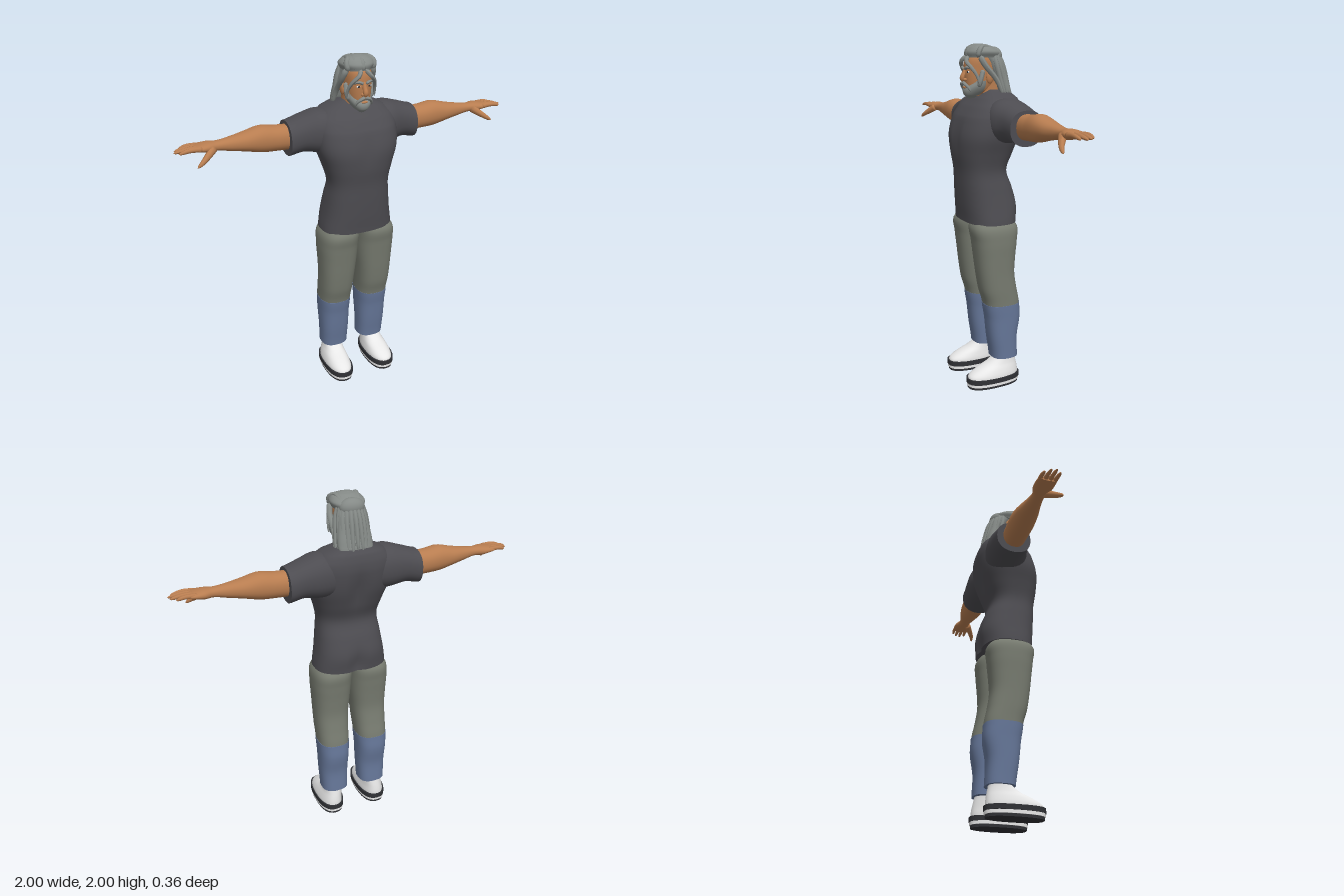
import * as THREE from 'three';

const mat = (name, color) => {
  const m = new THREE.MeshStandardMaterial({ color });
  m.name = name;
  return m;
};

// Smooth closed loft along an axis. Each section is [t, u0, u1, v0, v1],
// the extents of a rounded-box outline: y -> (x, z), x -> (z, y), z -> (y, x).
function loft(axis, sections, power = 2.4, sides = 32, steps = 5) {
  const place = { y: (t, u, v) => [u, t, v], x: (t, u, v) => [t, v, u], z: (t, u, v) => [v, u, t] }[axis];
  const rows = [], last = sections.length - 1;
  for (let i = 0; i < last; i++) {
    const [a, b, c, d] = [-1, 0, 1, 2].map(k => sections[Math.min(last, Math.max(0, i + k))]);
    for (let s = 0; s < steps; s++) {
      const f = s / steps;
      rows.push(b.map((_, k) => k === 0 ? b[0] + (c[0] - b[0]) * f
        : 0.5 * (2 * b[k] + (c[k] - a[k]) * f + (2 * a[k] - 5 * b[k] + 4 * c[k] - d[k]) * f * f
          + (3 * b[k] - a[k] - 3 * c[k] + d[k]) * f ** 3)));
    }
  }
  rows.push(sections[last]);
  const pos = [], idx = [];
  const bend = x => Math.sign(x) * Math.abs(x) ** (2 / power);
  const ring = ([t, u0, u1, v0, v1]) => {
    for (let j = 0; j < sides; j++) {
      const a = j / sides * Math.PI * 2;
      pos.push(...place(t, (u0 + u1) / 2 + (u1 - u0) / 2 * bend(Math.cos(a)),
        (v0 + v1) / 2 + (v1 - v0) / 2 * bend(Math.sin(a))));
    }
  };
  rows.forEach(ring);
  for (let i = 0; i < rows.length - 1; i++) for (let j = 0; j < sides; j++) {
    const a = i * sides + j, b = i * sides + (j + 1) % sides;
    idx.push(a, a + sides, b, b, a + sides, b + sides);
  }
  // Separate end caps keep the rims crisp
  [rows[0], rows[rows.length - 1]].forEach((r, end) => {
    const start = pos.length / 3;
    ring(r);
    pos.push(...place(r[0], (r[1] + r[2]) / 2, (r[3] + r[4]) / 2));
    for (let j = 0; j < sides; j++) {
      const a = start + j, b = start + (j + 1) % sides;
      idx.push(start + sides, ...(end ? [b, a] : [a, b]));
    }
  });
  const g = new THREE.BufferGeometry();
  g.setAttribute('position', new THREE.Float32BufferAttribute(pos, 3));
  g.setIndex(idx);
  g.computeVertexNormals();
  return g;
}

// Tube along points whose radius runs from r0 to r1, pinched at the end
function lock(points, r0, r1, n = 14, sides = 9) {
  const curve = new THREE.CatmullRomCurve3(points.map(p => new THREE.Vector3(...p)));
  const g = new THREE.TubeGeometry(curve, n, 1, sides);
  const p = g.attributes.position, v = new THREE.Vector3();
  for (let i = 0; i <= n; i++) {
    const c = curve.getPointAt(i / n), f = i / n;
    const r = (r0 + (r1 - r0) * f) * Math.sqrt(Math.max(0, 1 - f ** 8)) * (i === 0 ? 0.1 : 1);
    for (let j = 0; j <= sides; j++) {
      const k = i * (sides + 1) + j;
      v.fromBufferAttribute(p, k).sub(c).multiplyScalar(r).add(c);
      p.setXYZ(k, v.x, v.y, v.z);
    }
  }
  g.computeVertexNormals();
  return g;
}

const ball = (x, y, z, rx, ry, rz) => new THREE.SphereGeometry(1, 20, 14).scale(rx, ry, rz).translate(x, y, z);

function mirrored(g) {
  const m = g.clone().scale(-1, 1, 1), i = m.index.array;
  for (let k = 0; k < i.length; k += 3) [i[k], i[k + 1]] = [i[k + 1], i[k]];
  m.computeVertexNormals();
  return m;
}

export function createModel() {
  const group = new THREE.Group();
  const shirt = mat('charcoal shirt', 0x4d4c51), trousers = mat('grey trousers', 0x777b70);
  const blue = mat('blue leggings', 0x667799), skin = mat('tan skin', 0xb87d50);
  const hair = mat('grey hair', 0x858a87), white = mat('white sock', 0xececec);
  const dark = mat('dark sole', 0x303135);
  const add = (name, g, m) => {
    const mesh = new THREE.Mesh(g, m);
    mesh.name = name;
    group.add(mesh);
  };
  const pair = (name, g, m) => { add(name + 'Left', g, m); add(name + 'Right', mirrored(g), m); };

  // Shirt body, with a shallow groove down the back and between the chest muscles
  const torso = loft('y', [
    [1.0, -.215, .215, -.15, .148], [1.1, -.2, .2, -.157, .158], [1.2, -.186, .186, -.132, .165],
    [1.3, -.176, .176, -.098, .17], [1.4, -.2, .2, -.13, .184], [1.5, -.232, .232, -.162, .186],
    [1.6, -.238, .238, -.177, .157], [1.66, -.225, .225, -.174, .115], [1.705, -.18, .18, -.16, .07],
    [1.73, -.12, .12, -.14, .035], [1.75, -.075, .075, -.115, .015]], 2.6, 48);
  const p = torso.attributes.position;
  for (let i = 0; i < p.count; i++) {
    const x = p.getX(i), y = p.getY(i), z = p.getZ(i);
    const groove = Math.exp(-((x / .035) ** 2));
    const amount = z < -.06 ? .022 * (Math.exp(-(((y - 1.05) / .08) ** 2)) + Math.exp(-(((y - 1.5) / .1) ** 2)))
      : z > .06 ? -.01 * Math.exp(-(((y - 1.5) / .08) ** 2)) : 0;
    p.setZ(i, z + groove * amount);
  }
  torso.computeVertexNormals();
  add('shirtBody', torso, shirt);
  pair('sleeve', loft('x', [
    [.08, -.15, .06, 1.47, 1.69], [.2, -.167, .08, 1.465, 1.71], [.3, -.162, .052, 1.482, 1.685],
    [.385, -.16, .042, 1.467, 1.66]], 2.3), shirt);

  // Arms, hands and fingers
  pair('arm', loft('x', [
    [.34, -.12, .005, 1.5, 1.64], [.45, -.125, .01, 1.505, 1.645], [.53, -.125, .012, 1.51, 1.655],
    [.62, -.115, .005, 1.53, 1.635], [.7, -.095, -.01, 1.545, 1.62], [.77, -.084, -.015, 1.559, 1.611],
    [.82, -.1, 0, 1.56, 1.613], [.88, -.1, .006, 1.572, 1.606], [.905, -.092, -.004, 1.578, 1.6]], 2.2), skin);
  [[-.085, .965], [-.058, .992], [-.031, 1.0], [-.004, .98]].forEach(([z, tip], i) =>
    pair('finger' + (i + 1), lock([[.85, 1.59, z * .9 - .005], [.92, 1.594, z], [tip, 1.583, z]], .015, .009), skin));
  pair('thumb', lock([[.79, 1.585, -.025], [.84, 1.55, .012], [.87, 1.53, .03], [.9, 1.51, .038]], .024, .01), skin);

  // Legs: trousers above, leggings below
  pair('trouserLeg', loft('y', [
    [.51, .03, .217, -.148, .065], [.6, .025, .22, -.13, .09], [.7, .018, .222, -.115, .106],
    [.8, .008, .226, -.12, .118], [.9, .001, .23, -.13, .13], [.98, -.005, .222, -.133, .14],
    [1.05, -.01, .17, -.08, .1]], 2.6), trousers);
  pair('legging', loft('y', [
    [.17, .042, .206, -.14, .022], [.3, .038, .211, -.136, .04], [.42, .034, .215, -.154, .053],
    [.51, .029, .219, -.15, .067]], 2.6), blue);

  // Feet: sock, strap edge, welt and tread
  pair('sock', loft('y', [
    [.045, .068, .218, -.142, .178], [.075, .068, .216, -.142, .172], [.105, .073, .207, -.138, .125],
    [.135, .078, .195, -.132, .055], [.17, .08, .188, -.125, .008], [.23, .08, .188, -.125, 0]], 2.3), white);
  [['strapEdge', .034, .062, 0, dark], ['welt', .016, .034, -.003, white], ['tread', 0, .016, -.008, dark]]
    .forEach(([name, lo, hi, grow, m]) => pair(name, loft('y', [lo, hi].map(y =>
      [y, .06 - grow, .224 + grow, -.15 - grow, .186 + grow]), 2.5, 32, 1), m));

  // Neck and face
  add('neck', loft('y', [[1.66, -.07, .07, -.11, .04], [1.74, -.06, .06, -.09, .045], [1.82, -.06, .06, -.08, .05]]), skin);
  add('head', loft('y', [
    [1.715, -.03, .03, .02, .1], [1.75, -.055, .055, -.03, .117], [1.8, -.068, .068, -.07, .124],
    [1.86, -.072, .072, -.08, .126], [1.92, -.07, .07, -.07, .118], [1.965, -.045, .045, -.04, .08]], 2.3), skin);
  add('nose', lock([[0, 1.875, .115], [0, 1.84, .13], [0, 1.812, .141], [0, 1.797, .132]], .009, .017), skin);
  pair('nostril', ball(.012, 1.806, .128, .01, .009, .012), skin);
  pair('ear', ball(.076, 1.82, .008, .012, .036, .021), skin);
  pair('eye', ball(.031, 1.848, .118, .013, .006, .005), white);
  pair('iris', ball(.031, 1.848, .1215, .006, .006, .003), dark);
  pair('brow', lock([[.008, 1.862, .127], [.032, 1.873, .126], [.058, 1.862, .103]], .009, .005), hair);

  // Beard and moustache
  add('beard', loft('y', [
    [1.702, -.014, .014, .07, .105], [1.72, -.037, .037, .035, .127], [1.745, -.056, .056, 0, .132],
    [1.77, -.068, .068, -.005, .12], [1.8, -.072, .072, -.005, .1]], 2.3), hair);
  add('lip', ball(0, 1.763, .127, .02, .006, .008), skin);
  pair('moustache', lock([[0, 1.788, .133], [.02, 1.783, .135], [.042, 1.764, .122], [.05, 1.74, .11]], .011, .006), hair);
  pair('sideburn', lock([[.07, 1.86, .045], [.073, 1.81, .06], [.064, 1.765, .07]], .014, .015), hair);

  // Hair: swept crown, tied lump, back mass and hanging locks
  add('crownHair', loft('y', [
    [1.925, -.082, .082, -.085, .113], [1.955, -.096, .096, -.08, .118], [1.98, -.08, .08, -.04, .1],
    [1.994, -.05, .05, -.01, .075], [2.0, -.02, .02, .02, .05]], 2.1), hair);
  add('tiedHair', ball(0, 1.935, -.048, .072, .05, .046), hair);
  add('backHair', loft('y', [
    [1.715, -.095, .095, -.14, -.085], [1.75, -.1, .1, -.136, -.05], [1.82, -.094, .094, -.118, -.02],
    [1.9, -.086, .086, -.098, .02], [1.955, -.076, .076, -.075, .06]], 2.3), hair);
  for (let i = 0; i <= 10; i++) {
    const a = (i / 10 - .5) * 2.7, s = Math.sin(a), c = Math.cos(a);
    add('backLock' + (i + 1), lock([[s * .06, 1.955, -.01 - c * .055], [s * .087, 1.89, -.01 - c * .09],
      [s * .097, 1.8, -.03 - c * .095], [s * .106, 1.7 + (i % 3) * .012, -.06 - c * .083]], .014, .012), hair);
  }
  for (let i = 0; i < 5; i++) {
    const x = (i - 2) * .036;
    add('crownLock' + (i + 1), lock([[x, 1.925, .108 - Math.abs(x) * .4], [x * 1.1, 1.965, .1 - Math.abs(x) * .4],
      [x * .8, 1.984, .04], [x * .7, 1.965, -.04]], .015, .015), hair);
  }
  pair('fringe', lock([[.012, 1.935, .11], [.034, 1.905, .13], [.062, 1.875, .115], [.079, 1.83, .088],
    [.085, 1.77, .07]], .013, .007), hair);
  pair('templeLock', lock([[.075, 1.94, .07], [.088, 1.89, .045], [.093, 1.8, -.03], [.103, 1.715, -.065]], .017, .013), hair);

  return group;
}
